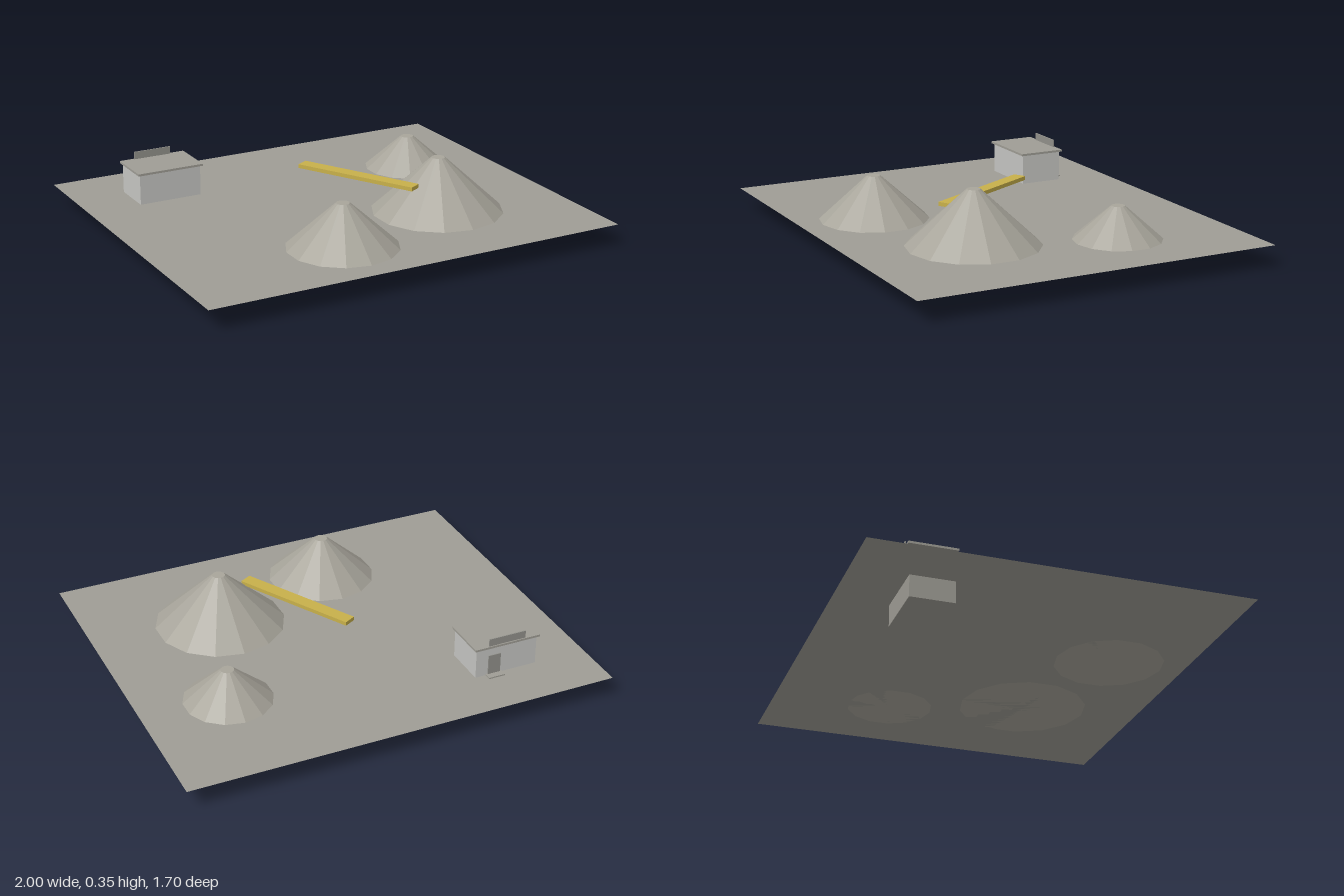
import * as THREE from 'three';

const mat = (name, color, extra = {}) => {
  const m = new THREE.MeshStandardMaterial({ color, ...extra });
  m.name = name;
  return m;
};

export function createModel() {
  const group = new THREE.Group();
  const concrete = mat('concrete', 0x9f9d95);
  const ground = mat('ground', 0x9f9d95, { side: THREE.DoubleSide });
  const gravel = mat('gravel', 0xa8a59b, { flatShading: true });
  const wall = mat('wall', 0xc6c6c3);
  const panel = mat('panel', 0x92918b);
  const yellow = mat('yellow', 0xc8b04a);
  const groundY = 0.1;

  const add = (name, geometry, material, x, y, z, parent = group) => {
    const mesh = new THREE.Mesh(geometry, material);
    mesh.name = name;
    mesh.position.set(x, y, z);
    parent.add(mesh);
    return mesh;
  };
  const box = (name, w, h, d, material, x, y, z, parent) =>
    add(name, new THREE.BoxGeometry(w, h, d), material, x, y, z, parent);

  // Flat yard
  add('yard', new THREE.PlaneGeometry(2, 1.7).rotateX(-Math.PI / 2), ground, 0, groundY, 0);

  // Faceted heaps with small flat tops: x, z, radius, height
  const heaps = [
    [-0.2, 0.5, 0.25, 0.2],
    [0.4, 0.3, 0.3, 0.25],
    [0.6, -0.3, 0.2, 0.15],
  ];
  for (const [x, z, r, h] of heaps) {
    add('heap', new THREE.CylinderGeometry(0.03, r, h, 14), gravel, x, groundY + h / 2, z);
  }

  // Level conveyor beam
  box('conveyor', 0.06, 0.018, 0.6, yellow, 0.1, 0.25, 0.1).rotation.y = 0.5;

  // Site hut with sunken foundation, door and sign facing the back
  const hut = new THREE.Group();
  hut.name = 'hut';
  hut.position.set(-0.6, 0, -0.5);
  group.add(hut);
  box('foundation', 0.3, 0.1, 0.2, concrete, 0, 0.05, 0, hut);
  box('walls', 0.3, 0.14, 0.2, wall, 0, 0.17, 0, hut);
  box('roof', 0.32, 0.01, 0.22, concrete, 0, 0.245, 0, hut);
  box('signBoard', 0.18, 0.045, 0.005, panel, 0, 0.2625, -0.1025, hut);
  box('door', 0.06, 0.1, 0.006, panel, 0.06, 0.15, -0.102, hut);
  box('doorStep', 0.08, 0.006, 0.035, concrete, 0.06, 0.103, -0.1175, hut);

  return group;
}
